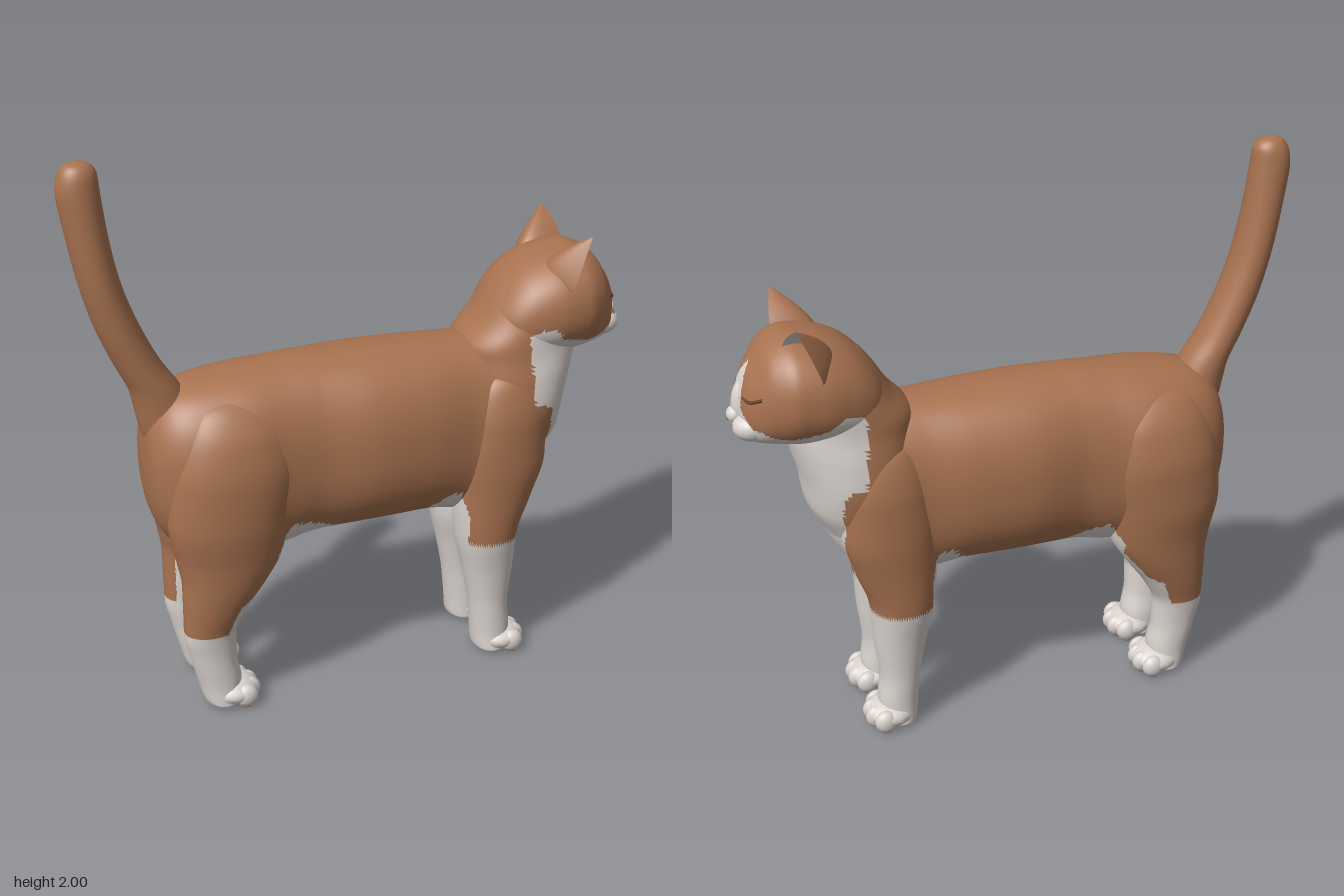
import * as THREE from 'three';
import { ParametricGeometry } from 'three/addons/geometries/ParametricGeometry.js';

const mat = (name, color, side = THREE.FrontSide) =>
  Object.assign(new THREE.MeshStandardMaterial({ color, side }), { name });

// Piecewise linear lookup through [position, value] pairs
function ramp(pts, v) {
  if (v <= pts[0][0]) return pts[0][1];
  for (let i = 1; i < pts.length; i++) {
    const [a, p] = pts[i - 1], [b, q] = pts[i];
    if (v <= b) return p + (q - p) * (v - a) / (b - a);
  }
  return pts[pts.length - 1][1];
}

// Smooth interpolation of section rows without overshoot
function sample(rows, u) {
  const n = rows.length - 1, i = Math.min(Math.floor(u), n - 1), t = u - i;
  return rows[0].map((_, k) => {
    const d = j => rows[j + 1][k] - rows[j][k];
    const slope = j => {
      if (j === 0) return d(0);
      if (j === n) return d(n - 1);
      const a = d(j - 1), b = d(j);
      return a * b > 0 ? 2 * a * b / (a + b) : 0;
    };
    const a = rows[i][k], b = rows[i + 1][k], t2 = t * t, t3 = t2 * t;
    return a * (2 * t3 - 3 * t2 + 1) + b * (3 * t2 - 2 * t3)
      + slope(i) * (t3 - 2 * t2 + t) + slope(i + 1) * (t3 - t2);
  });
}

// Coat pattern: where the fur is white
const chestBack = [[0.5, 0.55], [0.65, 0.6], [0.75, 0.65], [0.93, 0.645], [1.0, 0.585], [1.15, 0.575], [1.3, 0.565]];
const chestWide = [[0.5, 0.10], [0.6, 0.13], [0.8, 0.165], [0.9, 0.19], [1.0, 0.215], [1.1, 0.3]];
const jawLine = [[0.57, 1.27], [0.61, 1.29], [0.65, 1.29], [0.7, 1.245], [0.82, 1.215], [0.88, 1.225], [0.91, 1.25]];
const blaze = [[1.24, 0.11], [1.3, 0.055], [1.38, 0.042], [1.45, 0]];
const bellyLine = [[-0.36, 0.6], [-0.3, 0.7], [-0.24, 0.69], [-0.12, 0.63], [0.1, 0.62], [0.22, 0.635], [0.28, 0.71], [0.33, 0.7], [0.36, 0.6]];
const stocking = [[-0.7, 0.31], [-0.55, 0.31], [-0.51, 0.42], [-0.45, 0.45], [-0.37, 0.55], [-0.31, 0.62]];
const thighStripe = [[0.34, -0.55], [0.6, -0.42]];
function isWhite(x, y, z) {
  const w = Math.abs(z);
  if (x > 0.3 && y < 0.49) return true;
  if (x > 0.84 && y > 1.24) return w < ramp(blaze, y);
  if (x > 0.5 && y > 0.49 && y < ramp(jawLine, x) && x > ramp(chestBack, y) && w < ramp(chestWide, y)) return true;
  if (x > 0.3 && y < 0.62 && w < 0.09) return true;
  if (x < -0.28 && w < 0.11 && y > 0.34 && y < 0.6 && Math.abs(x - ramp(thighStripe, y)) < 0.025) return false;
  if (x > -0.36 && x < 0.36 && y < ramp(bellyLine, x)) return true;
  if (x < -0.28 && y < ramp(stocking, x)) return true;
  return x > -0.66 && x < -0.28 && y < 0.7 && w < 0.11;
}

// Skin over rows [t, a0, a1, b0, b1]: axis x has a = y, axis y has a = x; b is always z
function loft(axis, rows, side = 1, power = 2.2, around = 84, steps = 7) {
  const n = (rows.length - 1) * steps, pos = [], brown = [], white = [];
  const round = v => Math.sign(v) * Math.abs(v) ** (2 / power);
  for (let i = 0; i <= n; i++) {
    const [t, a0, a1, b0, b1] = sample(rows, i / steps);
    for (let j = 0; j < around; j++) {
      const q = j / around * Math.PI * 2;
      const a = (a0 + a1) / 2 + (a1 - a0) / 2 * round(Math.cos(q));
      const b = side * (b0 + b1) / 2 + (b1 - b0) / 2 * round(Math.sin(q)) * (axis === 'x' ? 1 : -1);
      pos.push(...(axis === 'x' ? [t, a, b] : [a, t, b]));
    }
  }
  for (let i = 0; i < n; i++) for (let j = 0; j < around; j++) {
    const k = (j + 1) % around, A = i * around + j, B = i * around + k, C = A + around, D = B + around;
    for (const tri of [[A, B, C], [B, D, C]]) {
      const mid = [0, 1, 2].map(c => tri.reduce((s, v) => s + pos[v * 3 + c], 0) / 3);
      (isWhite(...mid) ? white : brown).push(...tri);
    }
  }
  const g = new THREE.BufferGeometry();
  g.setAttribute('position', new THREE.Float32BufferAttribute(pos, 3));
  g.setIndex([...brown, ...white]);
  g.addGroup(0, brown.length, 0);
  g.addGroup(brown.length, white.length, 1);
  g.computeVertexNormals();
  return g;
}
const even = rows => rows.map(([t, a0, a1, w]) => [t, a0, a1, -w, w]);

const TORSO = even([
  [-0.775, 0.93, 0.93, 0], [-0.766, 0.8, 1.05, 0.1], [-0.74, 0.7, 1.13, 0.155], [-0.68, 0.62, 1.19, 0.205],
  [-0.6, 0.59, 1.215, 0.235], [-0.45, 0.56, 1.235, 0.255], [-0.3, 0.57, 1.245, 0.235], [-0.2, 0.59, 1.25, 0.23],
  [0, 0.6, 1.25, 0.255], [0.2, 0.6, 1.245, 0.245], [0.38, 0.57, 1.24, 0.22], [0.5, 0.56, 1.23, 0.22],
  [0.62, 0.66, 1.2, 0.19], [0.7, 0.8, 1.1, 0.1], [0.74, 0.95, 0.95, 0]]);
const NECK = even([
  [0.49, 0.48, 0.48, 0], [0.52, 0.41, 0.56, 0.04], [0.6, 0.38, 0.6, 0.1], [0.7, 0.38, 0.645, 0.15],
  [0.8, 0.38, 0.7, 0.185], [0.9, 0.38, 0.75, 0.215], [1.0, 0.38, 0.765, 0.23], [1.1, 0.37, 0.79, 0.222],
  [1.2, 0.37, 0.81, 0.205], [1.3, 0.445, 0.8, 0.2], [1.4, 0.51, 0.8, 0.18], [1.45, 0.56, 0.75, 0.1], [1.47, 0.66, 0.66, 0]]);
const HEAD = even([
  [0.46, 1.28, 1.28, 0], [0.475, 1.2, 1.34, 0.1], [0.52, 1.15, 1.41, 0.17], [0.6, 1.14, 1.485, 0.21],
  [0.7, 1.145, 1.525, 0.23], [0.78, 1.15, 1.535, 0.225], [0.85, 1.155, 1.51, 0.19], [0.9, 1.16, 1.45, 0.145],
  [0.935, 1.17, 1.395, 0.095], [0.955, 1.2, 1.33, 0.05], [0.96, 1.26, 1.26, 0]]);
const TAIL = even([
  [0.98, -0.7, -0.7, 0], [1.02, -0.765, -0.6, 0.075], [1.1, -0.785, -0.58, 0.095], [1.2, -0.805, -0.63, 0.092],
  [1.3, -0.85, -0.695, 0.088], [1.45, -0.91, -0.765, 0.086], [1.6, -0.95, -0.815, 0.083], [1.75, -0.978, -0.843, 0.076],
  [1.9, -1, -0.86, 0.066], [1.96, -0.99, -0.866, 0.055], [1.99, -0.965, -0.89, 0.034], [2, -0.93, -0.93, 0]]);
const HIND_LEG = [
  [0.005, -0.57, -0.57, 0.13, 0.13], [0.02, -0.62, -0.5, 0.05, 0.205], [0.1, -0.645, -0.49, 0.05, 0.2],
  [0.2, -0.67, -0.505, 0.06, 0.2], [0.3, -0.69, -0.505, 0.06, 0.207], [0.4, -0.69, -0.46, 0.05, 0.227],
  [0.5, -0.69, -0.39, 0.035, 0.245], [0.6, -0.705, -0.33, 0.01, 0.257], [0.75, -0.73, -0.3, 0, 0.277],
  [0.9, -0.72, -0.27, 0, 0.28], [1.05, -0.68, -0.29, 0.02, 0.252], [1.15, -0.61, -0.37, 0.06, 0.19], [1.19, -0.5, -0.5, 0.13, 0.13]];
const FRONT_LEG = [
  [0.005, 0.48, 0.48, 0.13, 0.13], [0.02, 0.42, 0.54, 0.045, 0.205], [0.1, 0.41, 0.555, 0.045, 0.2],
  [0.2, 0.4, 0.545, 0.045, 0.2], [0.35, 0.372, 0.56, 0.03, 0.212], [0.5, 0.34, 0.57, 0.008, 0.234],
  [0.65, 0.33, 0.62, 0.01, 0.243], [0.8, 0.33, 0.66, 0.03, 0.252], [0.95, 0.35, 0.66, 0.04, 0.25],
  [1.1, 0.4, 0.62, 0.06, 0.213], [1.17, 0.5, 0.5, 0.12, 0.12]];

export function createModel() {
  const cat = new THREE.Group();
  const brown = mat('brown fur', 0xa87250, THREE.DoubleSide), white = mat('white fur', 0xdad3ce, THREE.DoubleSide);
  const pink = mat('nose and paw pads', 0x9c6650), dark = mat('eyelid line', 0x6b452f);
  const coat = [brown, white];
  const add = (name, geo, material, parent = cat) => {
    const m = new THREE.Mesh(geo, material);
    m.name = name;
    parent.add(m);
    return m;
  };
  const blob = (name, material, p, r, parent) => {
    const m = add(name, new THREE.SphereGeometry(1, 18, 12), material, parent);
    m.position.set(...p);
    m.scale.set(...r);
    return m;
  };

  add('torso', loft('x', TORSO, 1, 2.3), coat);
  add('neckAndChest', loft('y', NECK), coat);
  add('head', loft('x', HEAD), coat);
  add('tail', loft('y', TAIL, 1, 2, 40), coat);

  // Muzzle
  blob('noseBridge', white, [0.925, 1.285, 0], [0.05, 0.095, 0.045]);
  blob('noseTip', white, [0.965, 1.258, 0], [0.028, 0.03, 0.032]);
  blob('chin', white, [0.905, 1.195, 0], [0.06, 0.036, 0.07]);
  blob('nose', pink, [0.987, 1.248, 0], [0.006, 0.008, 0.013]);
  blob('muzzleSpot', pink, [0.948, 1.258, 0.062], [0.016, 0.018, 0.016]);

  for (const s of [1, -1]) {
    const sideName = s > 0 ? 'Left' : 'Right';
    blob('whiskerPad' + sideName, white, [0.915, 1.228, s * 0.045], [0.068, 0.05, 0.062]);

    // Closed eyelid, slanting up and outward
    const lid = new THREE.CatmullRomCurve3([[0.942, 1.34, 0.06], [0.929, 1.338, 0.098], [0.893, 1.362, 0.145]]
      .map(([x, y, z]) => new THREE.Vector3(x, y, s * z)));
    add('eyelid' + sideName, new THREE.TubeGeometry(lid, 16, 0.006, 8), dark);

    // Cupped ear with convex edges, opening forward and outward
    const ear = inset => (u, v, out) => {
      const f = 1 - u, p = [[0.81, 1.505, 0.085], [0.56, 1.52, 0.05], [0.71, 1.42, 0.22]];
      const tip = [0.785, 1.607, 0.198];
      const [x, y, z] = p[0].map((_, k) => {
        const chord = f * p[0][k] + u * p[2][k], mid = (p[0][k] + p[2][k]) / 2;
        const curve = f * f * p[0][k] + 2 * f * u * p[1][k] + u * u * p[2][k];
        const base = curve + (chord - curve) * inset;
        return mid + (tip[k] - mid) * v + (base - mid) * (1 - v ** 1.4);
      });
      out.set(x, y, s * z);
    };
    add('ear' + sideName, new ParametricGeometry(ear(0), 20, 14), brown);
    add('earLining' + sideName, new ParametricGeometry(ear(0.2), 20, 14), white);

    // Legs with paws, toes and pads
    for (const [name, rows, px] of [['frontLeg', FRONT_LEG, 0.5], ['hindLeg', HIND_LEG, -0.535]]) {
      const leg = new THREE.Group();
      leg.name = name + sideName;
      cat.add(leg);
      add('leg', loft('y', rows, s, 2.1), coat, leg);
      blob('paw', white, [px + 0.015, 0.052, s * 0.127], [0.09, 0.049, 0.096], leg);
      blob('heelPad', pink, [px + 0.02, 0.007, s * 0.127], [0.032, 0.007, 0.036], leg);
      for (let i = 0; i < 4; i++) {
        const z = s * (0.06 + i * 0.045), fx = px + (i % 3 ? 0.068 : 0.046);
        blob('toe', white, [fx, 0.046, z], [0.042, 0.043, 0.029], leg);
        blob('toePad', pink, [fx, 0.006, z], [0.017, 0.006, 0.014], leg);
      }
    }
  }
  return cat;
}
